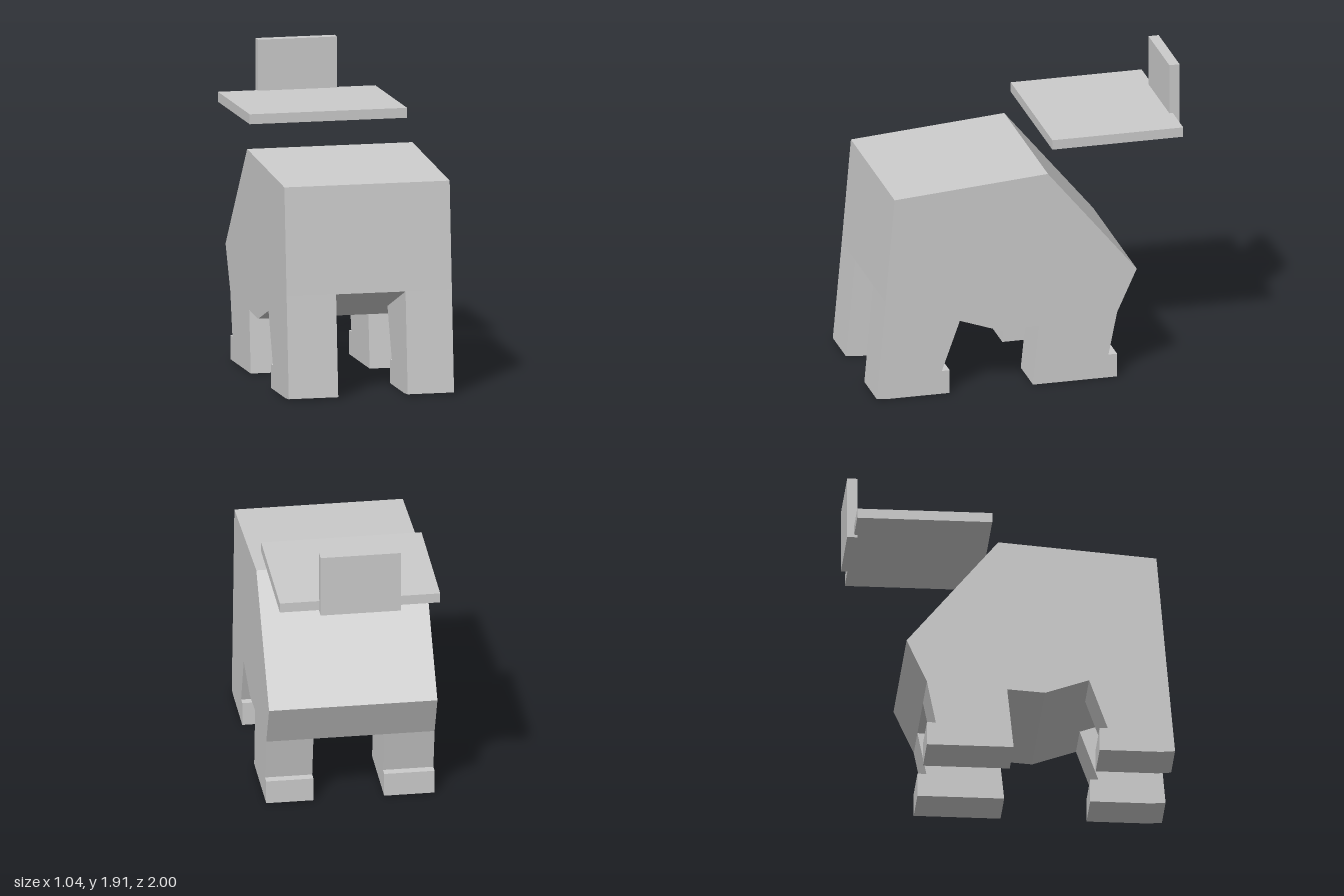
import * as THREE from 'three';

const material = new THREE.MeshStandardMaterial({ color: 0xcccccc, flatShading: true });

// Extrudes a side profile of [z, y] points across the width x0..x1.
function slab(name, profile, x0, x1) {
  const shape = new THREE.Shape(profile.map(([z, y]) => new THREE.Vector2(z, y)));
  const geometry = new THREE.ExtrudeGeometry(shape, { depth: x1 - x0, bevelEnabled: false });
  geometry.rotateY(-Math.PI / 2).translate(x1, 0, 0);
  const mesh = new THREE.Mesh(geometry, material);
  mesh.name = name;
  return mesh;
}

// Box given by its limits on each axis.
function block(name, [x0, x1], [y0, y1], [z0, z1]) {
  const mesh = new THREE.Mesh(new THREE.BoxGeometry(x1 - x0, y1 - y0, z1 - z0), material);
  mesh.position.set((x0 + x1) / 2, (y0 + y1) / 2, (z0 + z1) / 2);
  mesh.name = name;
  return mesh;
}

export function createModel() {
  const model = new THREE.Group();
  model.name = 'leggedBody';

  // Torso with sloping back and bent belly
  const torso = [
    [0.943, 0.64], [0.885, 1.31], [-0.09, 1.385], [-0.655, 0.7],
    [-0.53, 0.425], [-0.035, 0.39], [0.2, 0.375], [0.47, 0.47],
  ];
  model.add(slab('torso', torso, -0.525, 0.52));

  // Legs, each with a heel step at the back
  const frontLeg = [
    [0.943, 0.64], [0.47, 0.47], [0.585, 0.15], [0.535, 0.15],
    [0.535, 0], [0.915, 0], [1, 0.008],
  ];
  const backLeg = [
    [-0.035, 0.39], [-0.53, 0.425], [-0.475, 0.15], [-0.53, 0.15],
    [-0.53, 0], [0.005, 0],
  ];
  for (const [side, x0, x1] of [['Right', -0.525, -0.212], ['Left', 0.227, 0.52]]) {
    model.add(slab('front' + side + 'Leg', frontLeg, x0, x1));
    model.add(slab('back' + side + 'Leg', backLeg, x0, x1));
  }

  // Floating plate and upright panel above the back
  model.add(block('plate', [-0.5, 0.495], [1.532, 1.594], [-0.957, -0.125]));
  model.add(block('uprightPanel', [-0.252, 0.248], [1.515, 1.912], [-1, -0.935]));

  return model;
}
